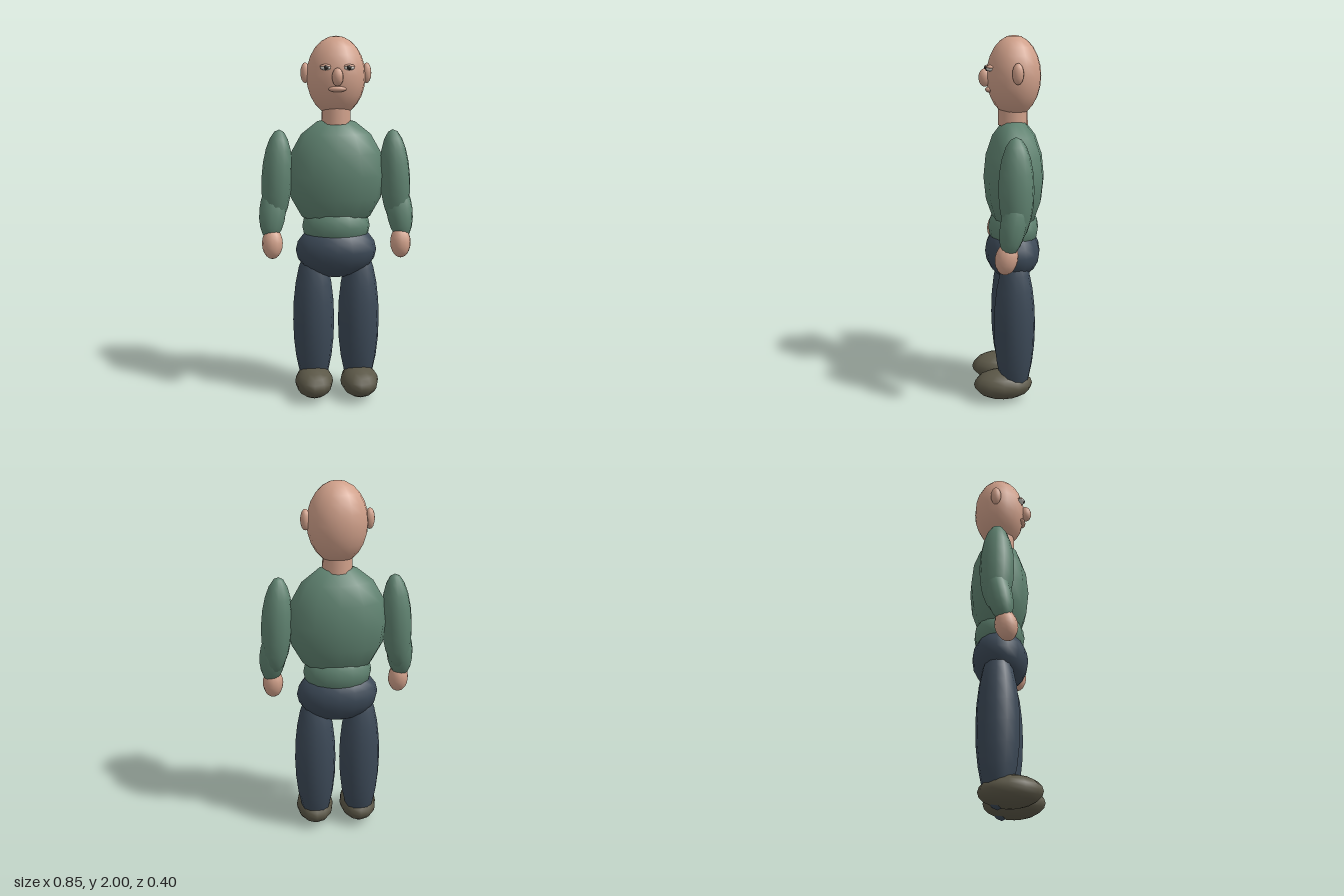
import * as THREE from 'three';

const material = (name, color) => {
  const m = new THREE.MeshStandardMaterial({ color });
  m.name = name;
  return m;
};

export function createModel() {
  const model = new THREE.Group();
  model.name = 'figure';
  const skin = material('skin', 0xd0a08a);
  const green = material('green sweater', 0x5f8270);
  const navy = material('navy trousers', 0x3c4957);
  const brown = material('brown shoes', 0x5b5747);
  const white = material('eye white', 0xd8d4cc);
  const dark = material('dark iris', 0x2c2622);

  // Stretched sphere; "up" optionally tilts its long axis
  function blob(name, mat, center, radii, [w, h] = [12, 8], up = null) {
    const mesh = new THREE.Mesh(new THREE.SphereGeometry(1, w, h).scale(...radii), mat);
    mesh.name = name;
    mesh.position.set(...center);
    if (up) {
      mesh.quaternion.setFromUnitVectors(
        new THREE.Vector3(0, 1, 0), new THREE.Vector3(...up).normalize());
    }
    model.add(mesh);
    return mesh;
  }

  // Head and neck
  blob('head', skin, [0, 1.7875, -0.035], [0.16, 0.2125, 0.146], [16, 12]);
  const neck = new THREE.Mesh(new THREE.CylinderGeometry(0.077, 0.081, 0.14, 14), skin);
  neck.name = 'neck';
  neck.position.set(0, 1.6, -0.03);
  model.add(neck);

  // Face
  blob('nose', skin, [0, 1.78, 0.119], [0.03, 0.048, 0.034]);
  blob('mouth', skin, [0, 1.718, 0.096], [0.048, 0.016, 0.022]);

  // Trunk
  blob('torso', green, [0, 1.25, -0.035], [0.27, 0.32, 0.165]);
  blob('waist', green, [0, 0.97, -0.033], [0.188, 0.14, 0.138], [16, 10]);
  blob('hips', navy, [0, 0.835, -0.028], [0.225, 0.155, 0.152], [16, 10]);

  // Paired parts
  for (const [side, s] of [['left', 1], ['right', -1]]) {
    blob(side + 'Ear', skin, [s * 0.166, 1.805, -0.042], [0.026, 0.055, 0.03]);
    blob(side + 'Eyelid', skin, [s * 0.062, 1.836, 0.094], [0.03, 0.011, 0.02]);
    blob(side + 'Eye', white, [s * 0.062, 1.828, 0.097], [0.028, 0.013, 0.02]);
    blob(side + 'Iris', dark, [s * 0.06, 1.829, 0.111], [0.013, 0.012, 0.009]);

    blob(side + 'UpperArm', green, [s * 0.325, 1.235, -0.02], [0.084, 0.268, 0.092],
      [12, 10], [s * -0.03, 0.5, 0]);
    blob(side + 'Forearm', green, [s * 0.35, 1.06, -0.004], [0.073, 0.165, 0.068],
      [12, 10], [s * -0.03, 0.3, -0.06]);
    blob(side + 'Hand', skin, [s * 0.353, 0.885, 0.032], [0.057, 0.086, 0.06],
      [12, 10], [0, 0.3, -0.05]);

    blob(side + 'Leg', navy, [s * 0.127, 0.432, -0.03], [0.116, 0.43, 0.114], [12, 12]);
    blob(side + 'Shoe', brown, [s * 0.128, 0.091, 0.034], [0.107, 0.083, 0.164], [12, 10]);
  }
  return model;
}
